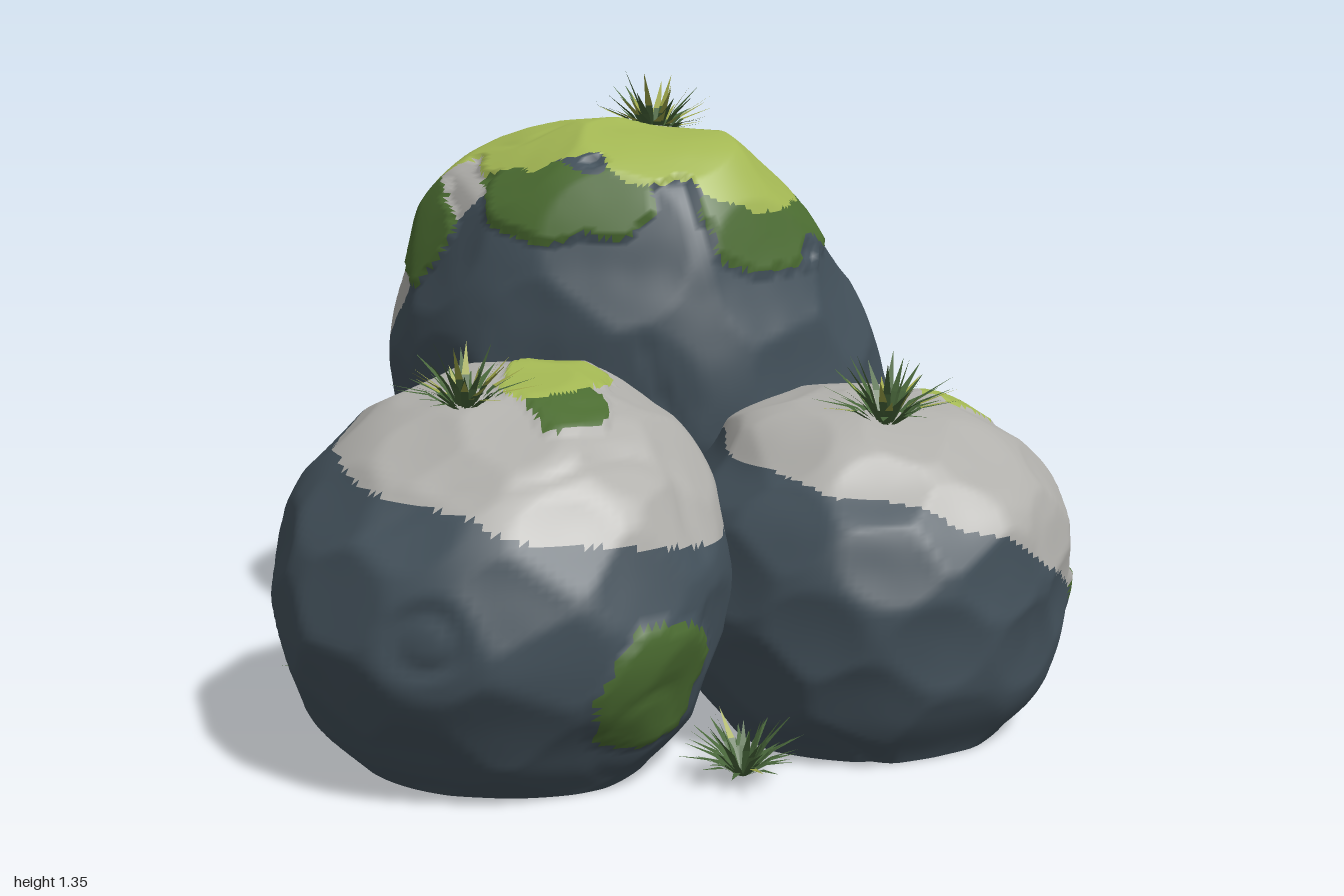
import * as THREE from 'three';

const mat = (name, color, side = THREE.FrontSide) => {
  const m = new THREE.MeshStandardMaterial({ color, side });
  m.name = name;
  return m;
};

// seeded random numbers
function seeded(seed) {
  let s = seed;
  return () => (s = (s * 16807) % 2147483647) / 2147483647;
}

// smooth value noise in -1..1
function hash(x, y, z) {
  const s = Math.sin(x * 127.1 + y * 311.7 + z * 74.7) * 43758.5453;
  return (s - Math.floor(s)) * 2 - 1;
}
function noise(x, y, z) {
  const i = Math.floor(x), j = Math.floor(y), k = Math.floor(z);
  const e = (t) => t * t * (3 - 2 * t), L = THREE.MathUtils.lerp;
  const u = e(x - i), v = e(y - j), w = e(z - k);
  const row = (b, c) => L(hash(i, b, c), hash(i + 1, b, c), u);
  return L(L(row(j, k), row(j + 1, k), v), L(row(j, k + 1), row(j + 1, k + 1), v), w);
}
const rough = (p, f) => noise(p.x * f, p.y * f, p.z * f) * 0.65 + noise(p.x * f * 2.3 + 9, p.y * f * 2.3, p.z * f * 2.3) * 0.35;

// evenly spread, jittered plane normals that chip facets into a boulder
function facetNormals(count, rnd) {
  return Array.from({ length: count }, (_, i) => {
    const y = 1 - (2 * i + 1) / count, r = Math.sqrt(1 - y * y), a = i * 2.39996;
    return new THREE.Vector3(Math.cos(a) * r, y, Math.sin(a) * r)
      .add(new THREE.Vector3(rnd() - 0.5, rnd() - 0.5, rnd() - 0.5).multiplyScalar(0.25)).normalize();
  });
}

// sections: [y, xMin, xMax, zMin, zMax]; moss: [x, y, z, rx, ry, rz, material]
function boulder({ name, sections, moss, isBare, rows, cols, seed }, materials) {
  const curveX = new THREE.CatmullRomCurve3(sections.map((s) => new THREE.Vector3(s[0], s[1], s[2])), false, 'catmullrom', 0.5);
  const curveZ = new THREE.CatmullRomCurve3(sections.map((s) => new THREE.Vector3(0, s[3], s[4])), false, 'catmullrom', 0.5);
  const range = (a, b) => [Math.min(...sections.map((s) => s[a])), Math.max(...sections.map((s) => s[b]))];
  const [x0, x1] = range(1, 2), [z0, z1] = range(3, 4), [y0, y1] = range(0, 0);
  const centre = new THREE.Vector3((x0 + x1) / 2, (y0 + y1) / 2, (z0 + z1) / 2);
  const half = new THREE.Vector3((x1 - x0) / 2, (y1 - y0) / 2, (z1 - z0) / 2);
  const normals = facetNormals(60, seeded(seed));
  const dirOf = (p) => p.clone().sub(centre).divide(half).normalize();
  const mossAt = (p) => {
    const n = rough(p, 9) * 0.45;
    for (const [x, y, z, rx, ry, rz, m] of moss) {
      if (Math.hypot((p.x - x) / rx, (p.y - y) / ry, (p.z - z) / rz) + n < 1) return m;
    }
    return 0;
  };

  const points = [];
  for (let i = 0; i <= rows; i++) {
    const X = curveX.getPoint(i / rows), Z = curveZ.getPoint(i / rows);
    for (let j = 0; j < cols; j++) {
      const a = (j / cols) * Math.PI * 2;
      const p = new THREE.Vector3(
        (X.y + X.z) / 2 + Math.cos(a) * (X.z - X.y) / 2, Math.max(0, X.x),
        (Z.y + Z.z) / 2 + Math.sin(a) * (Z.z - Z.y) / 2);
      const d = dirOf(p);
      let f = 1.012;
      for (const n of normals) {
        const c = n.dot(d);
        if (c > 0.5) f = Math.min(f, 0.98 / c);
      }
      // fine wear and a few sharp cracks
      f += rough(p, 6) * 0.008 - Math.max(0, 0.07 - Math.abs(rough(p, 2.4))) * Math.max(0, noise(p.x * 3, p.y * 3, p.z * 3 + 5)) * 0.5;
      if (mossAt(p)) f += 0.018;
      const y = p.y;
      p.sub(centre).multiplyScalar(f).add(centre);
      if (y < centre.y) p.y = y;
      points.push(p);
    }
  }

  // sort faces by colour
  const buckets = materials.map(() => []);
  const face = (a, b, c) => {
    const p = points[a].clone().add(points[b]).add(points[c]).divideScalar(3);
    const m = mossAt(p) || (isBare(dirOf(p)) + rough(p, 4) * 0.13 > 0 ? 1 : 0);
    buckets[m].push(a, b, c);
  };
  for (let i = 0; i < rows; i++) {
    for (let j = 0; j < cols; j++) {
      const a = i * cols + j, b = i * cols + (j + 1) % cols;
      face(a, a + cols, b);
      face(b, a + cols, b + cols);
    }
  }
  // flat underside with its own edge
  const base = points.length;
  for (let j = 0; j < cols; j++) points.push(points[j].clone());
  points.push(new THREE.Vector3((sections[0][1] + sections[0][2]) / 2, 0, (sections[0][3] + sections[0][4]) / 2));
  for (let j = 0; j < cols; j++) buckets[0].push(base + cols, base + j, base + (j + 1) % cols);

  const geo = new THREE.BufferGeometry().setFromPoints(points);
  geo.setIndex(buckets.flat());
  let start = 0;
  buckets.forEach((b, m) => {
    geo.addGroup(start, b.length, m);
    start += b.length;
  });
  geo.computeVertexNormals();
  const mesh = new THREE.Mesh(geo, materials);
  mesh.name = name;
  return mesh;
}

// a tuft of tapered, drooping blades in two colours
function tuft(x, y, z, size, tipShare, seed, materials) {
  const group = new THREE.Group(), rnd = seeded(seed * 7919 + 13);
  const verts = [[], []];
  for (let i = 0; i < 46; i++) {
    const a = i * 2.39996 + rnd() * 0.5, lean = 0.15 + 1.15 * Math.sqrt((i + 0.5) / 46);
    const len = size * (0.7 + rnd() * 0.45), w = size * 0.055;
    const out = new THREE.Vector3(Math.cos(a), 0, Math.sin(a)), side = new THREE.Vector3(-out.z, 0, out.x);
    const at = (h, l, s) => out.clone().multiplyScalar(Math.sin(l) * h * len + size * 0.06)
      .add(new THREE.Vector3(0, Math.cos(l) * h * len, 0)).addScaledVector(side, s * w);
    const r0 = at(0, 0, -0.7), r1 = at(0, 0, 0.7), m0 = at(0.5, lean * 0.85, -1), m1 = at(0.5, lean * 0.85, 1);
    const tip = at(1, lean, 0);
    const bucket = verts[rnd() < tipShare ? 1 : 0];
    for (const p of [r0, m0, r1, r1, m0, m1]) verts[0].push(p);
    bucket.push(m0, tip, m1);
  }
  verts.forEach((v, k) => {
    if (!v.length) return;
    const geo = new THREE.BufferGeometry().setFromPoints(v);
    geo.computeVertexNormals();
    const mesh = new THREE.Mesh(geo, materials[k]);
    mesh.name = k ? 'paleBladeTips' : 'grassBlades';
    group.add(mesh);
  });
  group.position.set(x, y, z);
  group.name = 'grassTuft';
  return group;
}

export function createModel() {
  const model = new THREE.Group();
  model.name = 'mossyBoulders';
  const rock = [mat('slate', 0x43515b), mat('bareStone', 0xb0afab), mat('limeMoss', 0xa3b753), mat('darkMoss', 0x4b6c31)];
  const grass = [mat('grassGreen', 0x48663a, THREE.DoubleSide), mat('grassTip', 0xa0a94a, THREE.DoubleSide)];

  // large boulder at the back
  model.add(boulder({
    name: 'largeBoulder', rows: 120, cols: 190, seed: 11,
    sections: [[0, -0.52, 0.24, -0.78, 0.02], [0.12, -0.64, 0.33, -0.89, 0.1], [0.38, -0.77, 0.41, -0.99, 0.17],
      [0.7, -0.77, 0.38, -0.89, 0.22], [0.95, -0.69, 0.29, -0.71, 0.19], [1.1, -0.58, 0.2, -0.55, 0.12],
      [1.2, -0.38, 0.08, -0.34, 0], [1.23, -0.15, -0.15, -0.15, -0.15]],
    moss: [[-0.47, 1.12, -0.22, 0.17, 0.2, 0.25, 2], [-0.2, 1.2, -0.07, 0.44, 0.11, 0.17, 2], [0.14, 1.12, -0.18, 0.12, 0.1, 0.19, 2],
      [-0.54, 1.0, -0.02, 0.1, 0.13, 0.2, 3], [-0.2, 1.08, 0.1, 0.2, 0.09, 0.15, 3], [0.22, 1.04, -0.12, 0.13, 0.13, 0.22, 3],
      [0.01, 0.92, -0.76, 0.07, 0.1, 0.06, 3], [-0.67, 0.95, -0.38, 0.06, 0.08, 0.06, 3], [0.27, 0.78, -0.75, 0.09, 0.07, 0.07, 3],
      [0.36, 0.25, -0.53, 0.1, 0.06, 0.07, 3], [-0.6, 0.13, -0.66, 0.13, 0.08, 0.13, 3]],
    isBare: (d) => -0.3 * d.x + 0.6 * d.y - (d.z > 0 ? 0.4 : 0.7) * d.z - 0.2,
  }, rock));

  // rounded boulder in front
  model.add(boulder({
    name: 'frontBoulder', rows: 84, cols: 150, seed: 23,
    sections: [[0, -0.4, 0.22, 0.26, 0.81], [0.1, -0.49, 0.3, 0.17, 0.9], [0.3, -0.54, 0.37, 0.1, 0.99],
      [0.5, -0.53, 0.35, 0.1, 0.94], [0.66, -0.43, 0.25, 0.16, 0.8], [0.75, -0.27, 0.08, 0.25, 0.63],
      [0.79, -0.1, -0.1, 0.42, 0.42]],
    moss: [[0.01, 0.76, 0.47, 0.1, 0.12, 0.15, 2], [0.08, 0.72, 0.57, 0.09, 0.12, 0.1, 3],
      [0.32, 0.22, 0.68, 0.15, 0.13, 0.17, 3], [-0.51, 0.22, 0.5, 0.1, 0.11, 0.17, 3]],
    isBare: (d) => d.y + 0.2 * d.x - 0.48,
  }, rock));

  // boulder on the left with a steep outer face
  model.add(boulder({
    name: 'sideBoulder', rows: 84, cols: 150, seed: 37,
    sections: [[0, 0.2, 0.81, -0.36, 0.34], [0.12, 0.13, 0.89, -0.43, 0.42], [0.3, 0.1, 0.92, -0.46, 0.46],
      [0.47, 0.12, 0.91, -0.43, 0.43], [0.57, 0.17, 0.83, -0.36, 0.34], [0.66, 0.25, 0.69, -0.24, 0.22],
      [0.7, 0.45, 0.45, 0, 0]],
    moss: [[0.58, 0.58, -0.28, 0.14, 0.16, 0.14, 2], [0.62, 0.65, -0.14, 0.08, 0.1, 0.07, 2],
      [0.86, 0.27, -0.23, 0.12, 0.07, 0.11, 3]],
    isBare: (d) => 0.2 * d.x + 0.6 * d.y - (d.z > 0 ? 0.2 : 0.45) * d.z - 0.22,
  }, rock));

  // grass on the boulders and around their feet: x, y, z, size, share of pale tips
  [[-0.18, 1.18, -0.42, 0.16, 0.5], [-0.1, 0.72, 0.66, 0.14, 0.5], [0.58, 0.65, 0.13, 0.15, 0.35],
    [-0.81, 0.01, -0.38, 0.2, 0.08], [-0.55, 0.01, 0.36, 0.15, 0.1], [0.42, 0.01, 0.5, 0.13, 0.1],
    [0.66, 0.01, -0.44, 0.16, 0.3], [-0.14, 0.02, -0.88, 0.11, 0.1],
  ].forEach((t, i) => model.add(tuft(...t, i + 1, grass)));

  return model;
}
